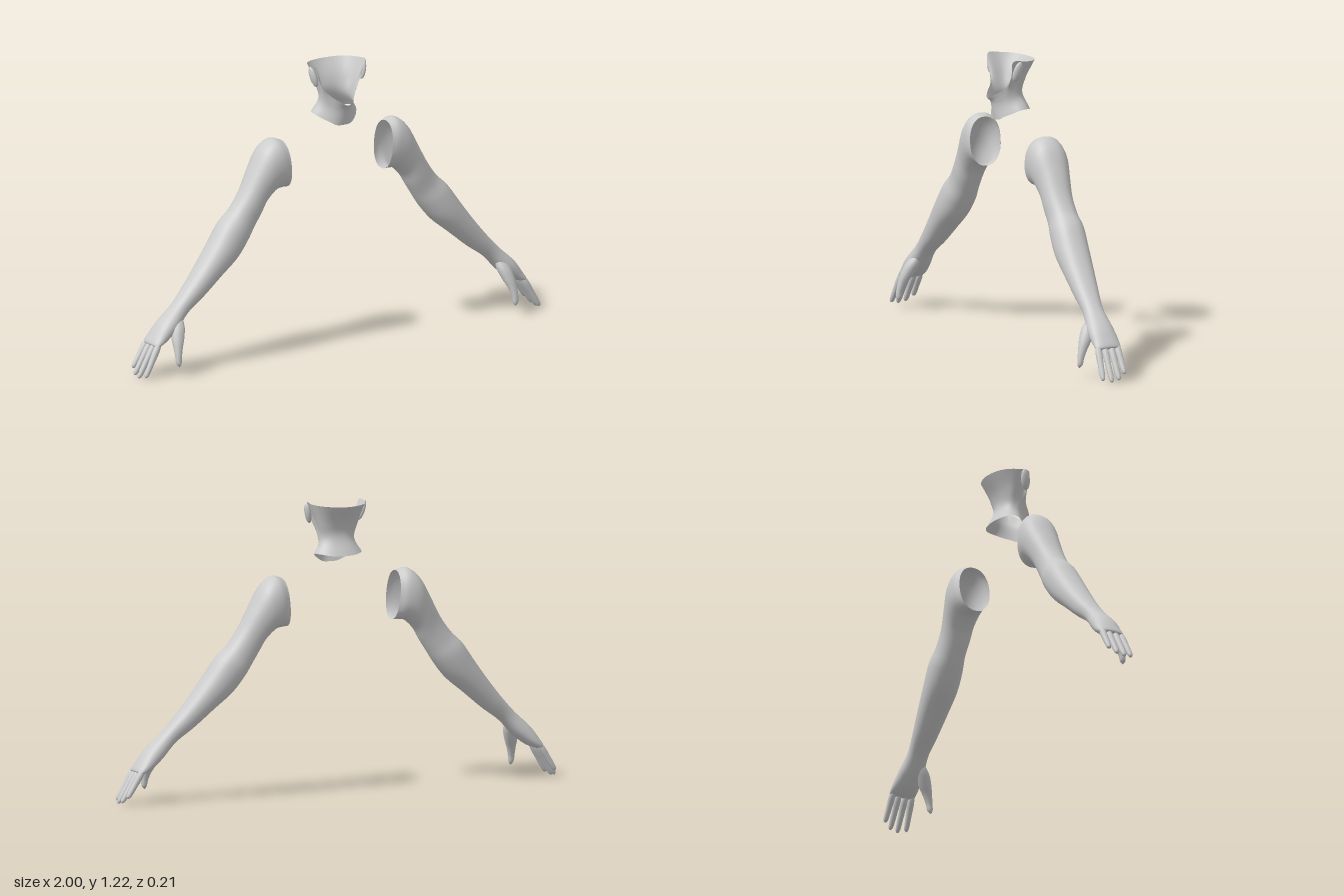
import * as THREE from 'three';

const material = new THREE.MeshStandardMaterial({ color: 0xcccccc, side: THREE.DoubleSide });

// Smooth skin over closed rings of points; flip reverses the faces of mirrored parts
function skin(name, rings, flip = false) {
  const n = rings[0].length;
  const index = [];
  for (let i = 0; i < rings.length - 1; i++) {
    for (let j = 0; j < n; j++) {
      const k = (j + 1) % n;
      const a = i * n + j, b = i * n + k, c = a + n, d = b + n;
      if (flip) index.push(a, c, b, b, c, d);
      else index.push(a, b, c, b, d, c);
    }
  }
  const geometry = new THREE.BufferGeometry().setFromPoints(rings.flat());
  geometry.setIndex(index);
  geometry.computeVertexNormals();
  const mesh = new THREE.Mesh(geometry, material);
  mesh.name = name;
  return mesh;
}

// Each section: outer x, y, inner x, y, front z, back z
function limb(name, sections, side, steps, sides) {
  const curve = f => new THREE.CatmullRomCurve3(sections.map(f), false, 'catmullrom', 0.5);
  const outer = curve(s => new THREE.Vector3(s[0], s[1], 0));
  const inner = curve(s => new THREE.Vector3(s[2], s[3], 0));
  const depth = curve(s => new THREE.Vector3(s[4], s[5], 0));
  const round = v => Math.sign(v) * Math.abs(v) ** 0.9;
  const rings = [];
  for (let i = 0; i <= steps; i++) {
    const o = outer.getPoint(i / steps), p = inner.getPoint(i / steps), d = depth.getPoint(i / steps);
    const ring = [];
    for (let j = 0; j < sides; j++) {
      const angle = j / sides * Math.PI * 2;
      const c = round(Math.cos(angle)), s = round(Math.sin(angle));
      ring.push(new THREE.Vector3(
        side * ((o.x + p.x) / 2 + (o.x - p.x) / 2 * c),
        (o.y + p.y) / 2 + (o.y - p.y) / 2 * c,
        (d.x + d.y) / 2 + (d.x - d.y) / 2 * s));
    }
    rings.push(ring);
  }
  return skin(name, rings, side < 0);
}

// Digit from centre points [x, y, z, radius], thickness measured along (nx, ny)
function digit(name, points, nx, ny, side) {
  const sections = points.map(([x, y, z, r]) =>
    [x + nx * r, y + ny * r, x - nx * r, y - ny * r, z + r, z - r]);
  return limb(name, sections, side, 24, 14);
}

// Shoulder opening to knuckles
const armSections = [
  [0.262, 0.915, 0.243, 0.71, 0.058, -0.085],
  [0.308, 0.925, 0.265, 0.71, 0.062, -0.10],
  [0.36, 0.885, 0.302, 0.702, 0.06, -0.103],
  [0.41, 0.80, 0.345, 0.662, 0.05, -0.09],
  [0.457, 0.715, 0.373, 0.615, 0.047, -0.08],
  [0.508, 0.645, 0.405, 0.565, 0.045, -0.08],
  [0.56, 0.595, 0.442, 0.51, 0.055, -0.087],
  [0.613, 0.522, 0.497, 0.445, 0.06, -0.082],
  [0.677, 0.437, 0.58, 0.378, 0.056, -0.07],
  [0.745, 0.355, 0.665, 0.308, 0.05, -0.055],
  [0.81, 0.285, 0.745, 0.25, 0.046, -0.042],
  [0.878, 0.222, 0.808, 0.185, 0.06, -0.052],
  [0.915, 0.172, 0.862, 0.144, 0.06, -0.058],
  [0.932, 0.142, 0.903, 0.126, 0.058, -0.055],
  [0.923, 0.13, 0.92, 0.128, 0.045, -0.042],
];

// Base z, tip z, tip x, tip y
const fingers = [
  [0.044, 0.058, 0.985, 0.01],
  [0.017, 0.022, 0.996, 0.002],
  [-0.013, -0.012, 0.994, 0.008],
  [-0.041, -0.043, 0.982, 0.03],
];

function makeArm(side) {
  const arm = new THREE.Group();
  arm.name = side > 0 ? 'leftArm' : 'rightArm';
  arm.add(limb('armAndPalm', armSections, side, 84, 32));
  fingers.forEach(([z0, z1, x, y], i) => {
    const at = (t, r) => [0.895 + (x - 0.895) * t, 0.168 + (y - 0.168) * t, z0 + (z1 - z0) * t, r];
    arm.add(digit('finger' + (i + 1),
      [at(0, 0.004), at(0.28, 0.0135), at(0.6, 0.0125), at(0.85, 0.011), at(0.96, 0.008), at(1, 0.0005)],
      0.87, 0.49, side));
  });
  arm.add(digit('thumb', [
    [0.795, 0.25, 0.02, 0.012], [0.812, 0.205, 0.042, 0.028], [0.826, 0.16, 0.062, 0.027],
    [0.836, 0.12, 0.08, 0.019], [0.841, 0.085, 0.091, 0.014], [0.842, 0.058, 0.095, 0.011],
    [0.84, 0.044, 0.097, 0.001],
  ], 0.98, 0.1, side));
  return arm;
}

// Half loops of the neck from the front round to the back, bottom rim first
const neckLoops = [
  [[0, 0.957, 0.07], [0.035, 0.96, 0.068], [0.062, 0.975, 0.055], [0.087, 0.99, 0.03],
    [0.104, 1.004, 0], [0.098, 1.006, -0.033], [0.06, 1.0, -0.065], [0, 0.997, -0.077]],
  [[0, 1.01, 0.08], [0.033, 1.015, 0.07], [0.058, 1.03, 0.05], [0.072, 1.045, 0.03],
    [0.077, 1.055, 0.008], [0.07, 1.065, -0.018], [0.043, 1.07, -0.037], [0, 1.07, -0.043]],
  [[0, 1.033, 0.088], [0.034, 1.045, 0.077], [0.063, 1.07, 0.052], [0.08, 1.1, 0.038],
    [0.087, 1.13, 0.025], [0.088, 1.13, -0.017], [0.055, 1.13, -0.045], [0, 1.13, -0.053]],
  [[0, 1.048, 0.105], [0.034, 1.066, 0.088], [0.072, 1.1, 0.053], [0.104, 1.15, 0.044],
    [0.119, 1.216, 0.043], [0.121, 1.214, -0.015], [0.085, 1.21, -0.073], [0, 1.207, -0.10]],
];

function makeNeck() {
  const loops = neckLoops.map(half => {
    const points = half.map(p => new THREE.Vector3(...p));
    const mirrored = half.slice(1, -1).reverse().map(([x, y, z]) => new THREE.Vector3(-x, y, z));
    return new THREE.CatmullRomCurve3([...points, ...mirrored], true, 'centripetal');
  });
  const columns = 56, rows = 18;
  const lines = Array.from({ length: columns }, (_, j) =>
    new THREE.CatmullRomCurve3(loops.map(l => l.getPoint(j / columns)), false, 'catmullrom', 0.5));
  const rings = Array.from({ length: rows + 1 }, (_, i) => lines.map(l => l.getPoint(i / rows)));
  return skin('neckAndJaw', rings);
}

function makeEar(side) {
  const ear = new THREE.Mesh(new THREE.SphereGeometry(1, 20, 14), material);
  ear.name = side > 0 ? 'leftEar' : 'rightEar';
  ear.scale.set(0.013, 0.045, 0.02);
  ear.position.set(side * 0.123, 1.173, 0.024);
  ear.rotation.set(-0.2, 0, -side * 0.24);
  return ear;
}

export function createModel() {
  const model = new THREE.Group();
  model.name = 'armsAndNeck';
  model.add(makeNeck());
  for (const side of [1, -1]) model.add(makeArm(side), makeEar(side));
  return model;
}
